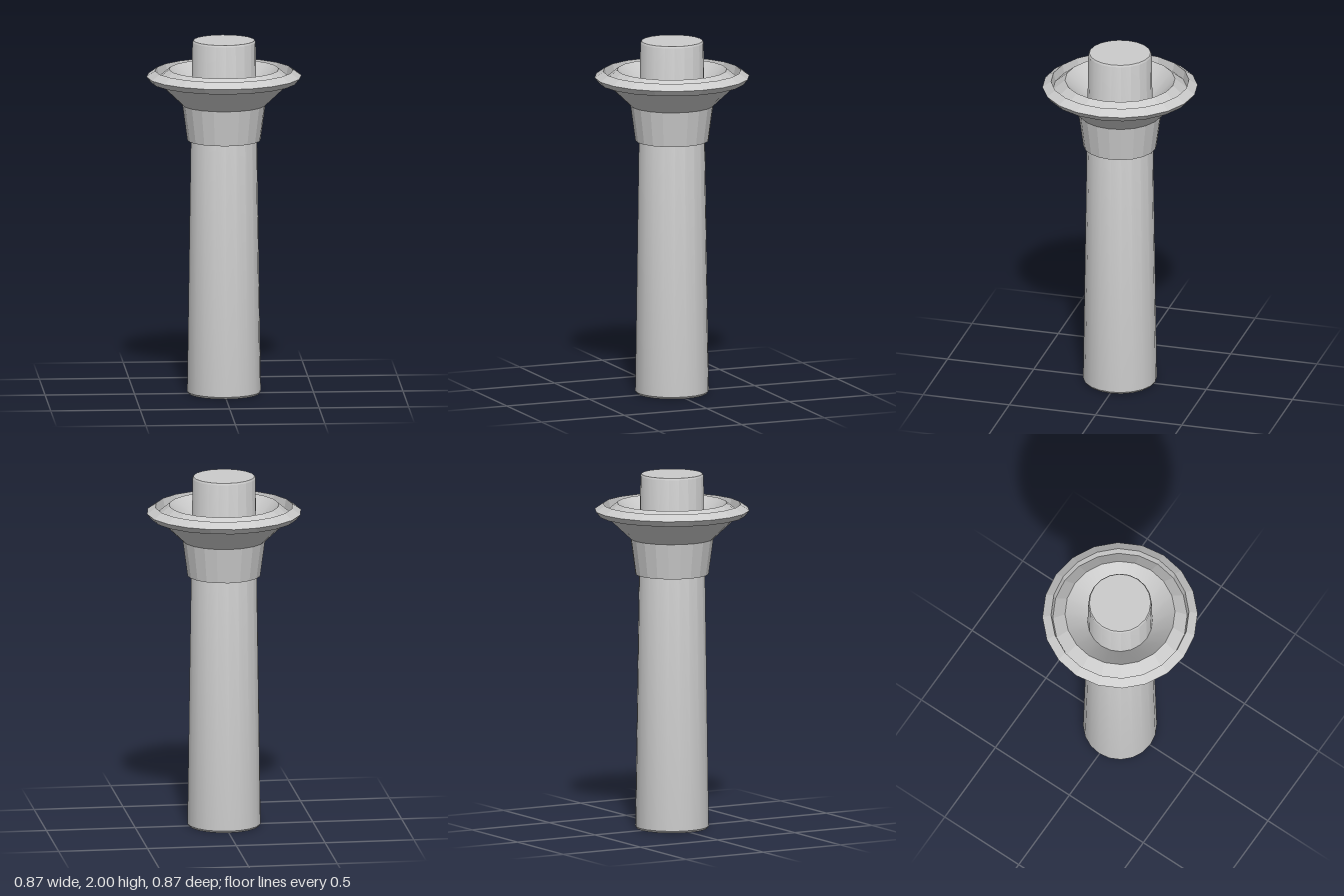
import * as THREE from 'three';
import { toCreasedNormals } from 'three/addons/utils/BufferGeometryUtils.js';

const SIDES = 20;

// Revolve [radius, height] pairs, listed up the outside and down the inside
function turned(name, profile, { flat = false } = {}) {
  const points = profile.map(([r, y]) => new THREE.Vector2(r, y));
  let geometry = new THREE.LatheGeometry(points, SIDES);
  if (!flat) geometry = toCreasedNormals(geometry, THREE.MathUtils.degToRad(32));
  const material = new THREE.MeshStandardMaterial({
    color: 0xcccccc, flatShading: flat, side: THREE.DoubleSide,
  });
  const mesh = new THREE.Mesh(geometry, material);
  mesh.name = name;
  return mesh;
}

export function createModel() {
  const model = new THREE.Group();
  model.name = 'handle';

  // Slightly tapered shaft with small chamfers at both ends
  model.add(turned('shaft', [
    [0, 0], [0.197, 0], [0.206, 0.012], [0.177, 1.99], [0.171, 2], [0, 2],
  ]));

  // Faceted collar, flared cup and bevelled rim with a groove inside it
  model.add(turned('collarAndRim', [
    [0.18, 1.435], [0.205, 1.435], [0.232, 1.635],
    [0.37, 1.765], [0.408, 1.765], [0.433, 1.797],
    [0.385, 1.83], [0.375, 1.78], [0.307, 1.837],
  ], { flat: true }));

  // Smooth bowl sloping down to the shaft
  model.add(turned('bowl', [[0.307, 1.837], [0.176, 1.7]]));

  return model;
}
